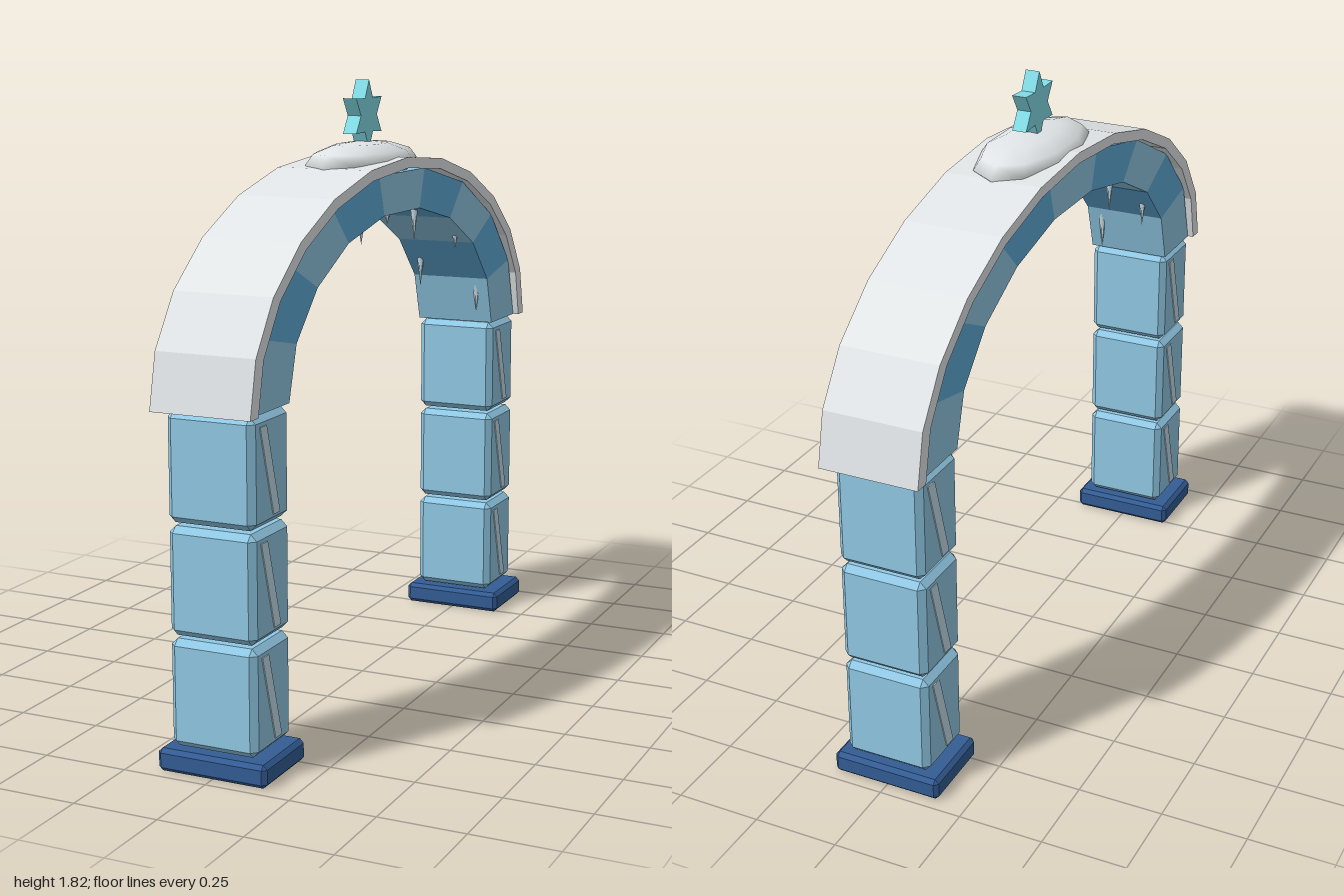
import * as THREE from 'three';
import { ConvexGeometry } from 'three/addons/geometries/ConvexGeometry.js';

const mat = (name, color) => {
  const m = new THREE.MeshStandardMaterial({ color });
  m.name = name;
  return m;
};

// Box with every edge cut at 45 degrees
function chamferBox(w, h, d, c) {
  const pts = [];
  for (const x of [-1, 1]) for (const y of [-1, 1]) for (const z of [-1, 1]) {
    for (let axis = 0; axis < 3; axis++) {
      const half = [w / 2, h / 2, d / 2].map((v, i) => (i === axis ? v : v - c));
      pts.push(new THREE.Vector3(x * half[0], y * half[1], z * half[2]));
    }
  }
  return new ConvexGeometry(pts);
}

// Extrude a (z, y) outline along x, centred on x = 0
function extrudeX(points, width) {
  const shape = new THREE.Shape(points.map(([z, y]) => new THREE.Vector2(z, y)));
  const g = new THREE.ExtrudeGeometry(shape, { depth: width, bevelEnabled: false });
  return g.translate(0, 0, -width / 2).rotateY(-Math.PI / 2);
}

// Outline of an elliptical band between two angles
function band(outer, inner, from, to, steps) {
  const at = ([a, b], i) => {
    const t = from + ((to - from) * i) / steps;
    return [a * Math.cos(t), 1 + b * Math.sin(t)];
  };
  const pts = [];
  for (let i = 0; i <= steps; i++) pts.push(at(outer, i));
  for (let i = steps; i >= 0; i--) pts.push(at(inner, i));
  return pts;
}

export function createModel() {
  const ice = mat('pale ice blue', 0x90c8e4);
  const deepIce = mat('deep ice blue', 0x60aad8);
  const navy = mat('navy ice', 0x335c94);
  const frost = mat('frost highlight', 0xc6dfea);
  const snow = mat('snow white', 0xf0f4f6);
  const icicleMat = mat('icicle', 0xd8eef6);
  const aqua = mat('star aqua', 0x86e2ec);

  const model = new THREE.Group();
  model.name = 'iceArch';
  const add = (parent, name, geometry, material, x = 0, y = 0, z = 0) => {
    const m = new THREE.Mesh(geometry, material);
    m.name = name;
    m.position.set(x, y, z);
    parent.add(m);
    return m;
  };

  // Pillars: foot, three chamfered blocks, slanted shine on both broad sides
  const footGeo = chamferBox(0.33, 0.065, 0.24, 0.012);
  const blockGeo = chamferBox(0.26, 0.302, 0.21, 0.018);
  const shineGeo = extrudeX([[0.067, 0.122], [0.03, 0.122], [-0.042, -0.125], [-0.005, -0.125]], 0.004);
  for (const side of [1, -1]) {
    const pillar = new THREE.Group();
    pillar.name = side > 0 ? 'frontPillar' : 'backPillar';
    pillar.position.z = side * 0.85;
    add(pillar, 'foot', footGeo, navy, 0, 0.0325, 0);
    for (let i = 0; i < 3; i++) {
      const y = 0.223 + i * 0.311;
      add(pillar, 'iceBlock', blockGeo, ice, 0, y, 0);
      add(pillar, 'shineRight', shineGeo, frost, 0.131, y, 0);
      add(pillar, 'shineLeft', shineGeo, frost, -0.131, y, 0).rotation.y = Math.PI;
    }
    model.add(pillar);
  }

  // Nine arch stones in alternating blues
  for (let i = 0; i < 9; i++) {
    const step = Math.PI / 9;
    const outline = band([0.953, 0.565], [0.745, 0.445], i * step, (i + 1) * step, 1);
    add(model, 'archStone', extrudeX(outline, 0.26), i % 2 ? deepIce : ice);
  }

  // Snow layer over the arch
  add(model, 'snowLayer', extrudeX(band([1, 0.6], [0.955, 0.568], 0, Math.PI, 12), 0.296), snow);

  // Soft snow mound on the crown
  const mound = new THREE.SphereGeometry(1, 10, 6).scale(0.28, 0.06, 0.132).rotateY(Math.PI / 2);
  add(model, 'snowMound', mound, snow, 0, 1.585, 0);

  // Icicles hanging under alternating edges of the arch
  const lengths = [0.105, 0.08, 0.05, 0.1, 0.07, 0.045, 0.1, 0.03, 0.045, 0.1, 0.075];
  lengths.forEach((len, i) => {
    const t = ((i + 1) * Math.PI) / 12;
    const h = len + 0.02;
    const cone = new THREE.ConeGeometry(0.014, h, 6).rotateX(Math.PI).translate(0, -h / 2, 0);
    add(model, 'icicle', cone, icicleMat, i % 2 ? -0.085 : 0.085,
      1.02 + 0.445 * Math.sin(t), 0.745 * Math.cos(t));
  });

  // Six-pointed star on top
  const star = [];
  for (let i = 0; i < 12; i++) {
    const r = i % 2 ? 0.056 : 0.103;
    const t = Math.PI / 2 + (i * Math.PI) / 6;
    star.push([r * Math.cos(t), r * Math.sin(t)]);
  }
  add(model, 'star', extrudeX(star, 0.043), aqua, 0, 1.72, 0);

  return model;
}
